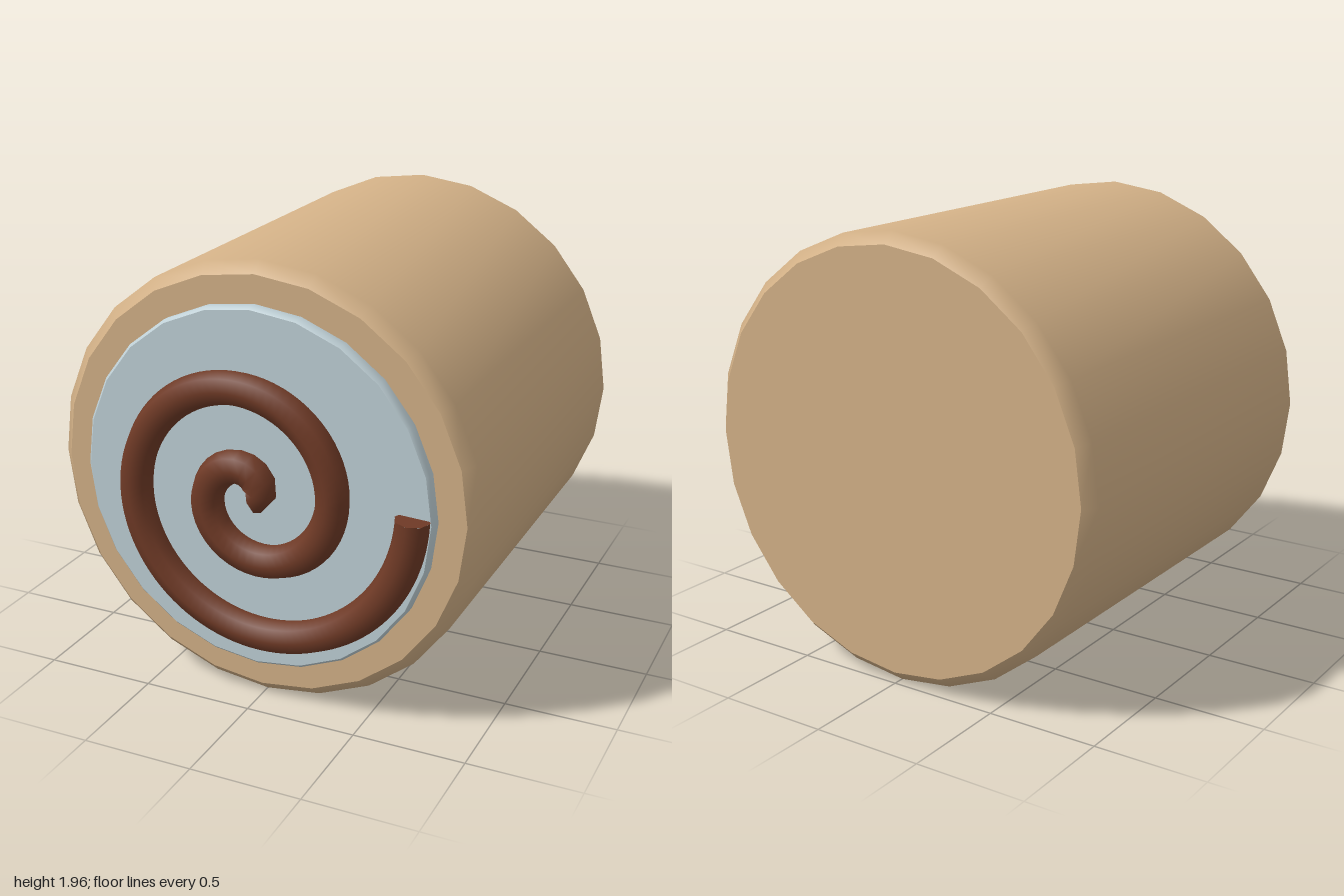
import * as THREE from 'three';
import { mergeGeometries } from 'three/addons/utils/BufferGeometryUtils.js';

const SIDES = 24;
const CENTER_Y = 0.98;

// Cylinder along z with chamfered rims, smooth sides and flat end faces
function chamferedDrum(radius, zBack, zFront, bevel) {
  const profile = [
    [radius - bevel, zBack], [radius, zBack + bevel],
    [radius, zFront - bevel], [radius - bevel, zFront],
  ].map(([r, z]) => new THREE.Vector2(r, z));
  const wall = new THREE.LatheGeometry(profile, SIDES).rotateX(Math.PI / 2);
  const front = new THREE.CircleGeometry(radius - bevel, SIDES).translate(0, 0, zFront);
  const back = new THREE.CircleGeometry(radius - bevel, SIDES).rotateY(Math.PI).translate(0, 0, zBack);
  return mergeGeometries([wall, front, back]);
}

// Flat spiral that widens evenly over two turns
class SpiralCurve extends THREE.Curve {
  getPoint(t, target = new THREE.Vector3()) {
    const angle = t * (Math.PI * 4 + 0.035);
    const r = 0.02 + 0.0557 * angle;
    return target.set(r * Math.cos(angle), r * Math.sin(angle), 0.925);
  }
}

export function createModel() {
  const group = new THREE.Group();
  group.name = 'spiralRoll';

  const tan = new THREE.MeshStandardMaterial({ name: 'tan', color: 0xd3b187 });
  const paleBlue = new THREE.MeshStandardMaterial({ name: 'paleBlue', color: 0xbfd0d6 });
  const brown = new THREE.MeshStandardMaterial({ name: 'brown', color: 0x6f3a26 });

  const add = (name, geometry, material) => {
    const mesh = new THREE.Mesh(geometry, material);
    mesh.name = name;
    mesh.position.y = CENTER_Y;
    group.add(mesh);
  };

  add('body', chamferedDrum(0.978, -1, 0.857, 0.05), tan);
  add('facePlate', chamferedDrum(0.806, 0.84, 0.905, 0.012), paleBlue);

  // Spiral cord with a flat cap on each end
  const curve = new SpiralCurve();
  const tubeRadius = 0.075;
  add('spiral', new THREE.TubeGeometry(curve, 128, tubeRadius, 8, false), brown);
  for (const [t, dir, name] of [[0, -1, 'spiralInnerCap'], [1, 1, 'spiralOuterCap']]) {
    const cap = new THREE.CircleGeometry(tubeRadius, 8);
    const facing = curve.getTangent(t).multiplyScalar(dir);
    cap.applyQuaternion(new THREE.Quaternion().setFromUnitVectors(new THREE.Vector3(0, 0, 1), facing));
    const p = curve.getPoint(t);
    cap.translate(p.x, p.y, p.z);
    add(name, cap, brown);
  }

  return group;
}
